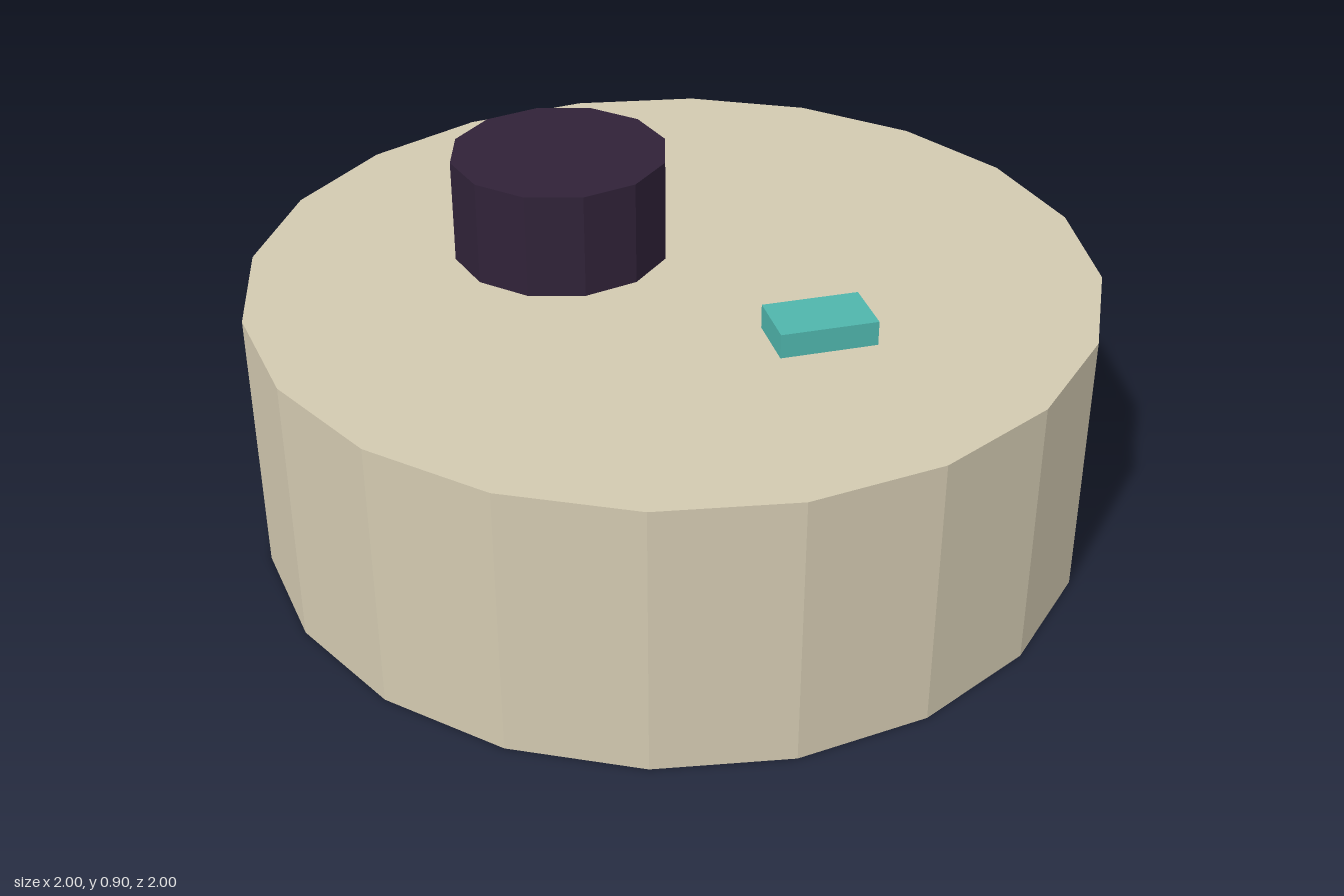
import * as THREE from 'three';

const material = (name, color) => {
  const m = new THREE.MeshStandardMaterial({ color, flatShading: true });
  m.name = name;
  return m;
};

export function createModel() {
  const model = new THREE.Group();
  model.name = 'roundDevice';
  const baseTop = 0.652;

  const add = (name, geometry, mat, x, y, z) => {
    const mesh = new THREE.Mesh(geometry, mat);
    mesh.name = name;
    mesh.position.set(x, y, z);
    model.add(mesh);
  };

  // Wide twenty-sided drum
  add('base', new THREE.CylinderGeometry(1, 1, baseTop, 20),
    material('warmBeige', 0xd2c9b0), 0, baseTop / 2, 0);

  // Off-centre twelve-sided knob
  const knobHeight = 0.25;
  add('knob', new THREE.CylinderGeometry(0.257, 0.257, knobHeight, 12),
    material('darkPurple', 0x302238), -0.23, baseTop + knobHeight / 2, -0.174);

  // Small block towards the front
  const blockHeight = 0.058;
  add('block', new THREE.BoxGeometry(0.225, blockHeight, 0.14),
    material('teal', 0x4fb5ac), 0.227, baseTop + blockHeight / 2, 0.397);

  return model;
}
